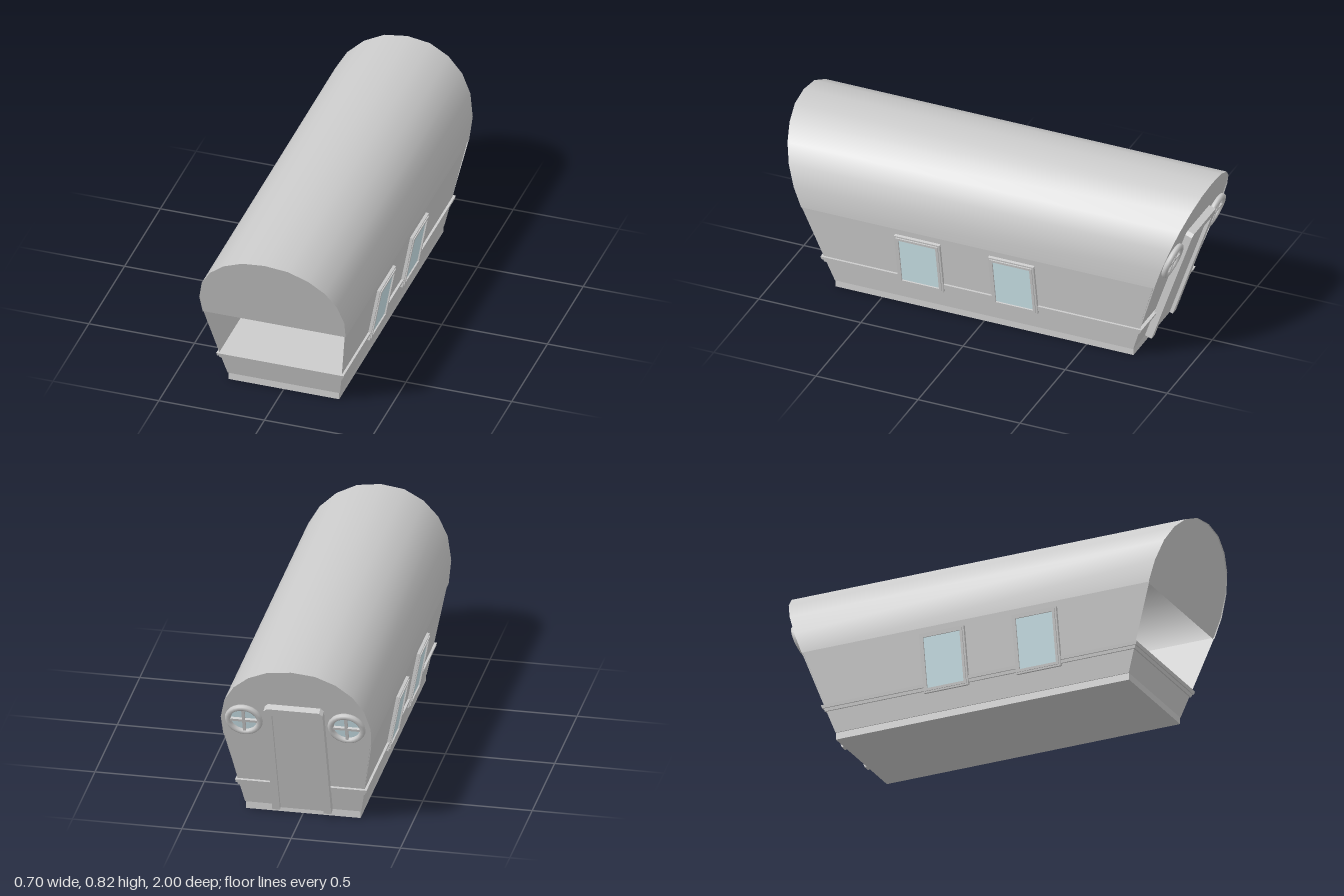
import * as THREE from 'three';

const grey = new THREE.MeshStandardMaterial({ color: 0xcccccc, side: THREE.DoubleSide });
const blue = new THREE.MeshStandardMaterial({ color: 0xcfe8ee, side: THREE.DoubleSide });

// Heights of the base top, band and eave; the ends and sides lean outward with height
const SILL = 0.033, BAND = 0.165, EAVE = 0.425;
const END_SLOPE = 0.342, SIDE_SLOPE = 0.184;
const endZ = (y) => 0.73 + (y - SILL) * END_SLOPE;
const sideX = (y) => 0.29 + (y - BAND) * SIDE_SLOPE;

// Right half of the roof arch, eave to ridge
const halfArch = [[0.338, EAVE], [0.343, 0.525], [0.32, 0.625], [0.272, 0.705], [0.2, 0.768], [0.108, 0.81], [0, 0.823]];
const arch = [...halfArch, ...halfArch.slice(0, -1).reverse().map(([x, y]) => [-x, y])];

function add(parent, name, geometry, material = grey) {
  const mesh = new THREE.Mesh(geometry, material);
  mesh.name = name;
  parent.add(mesh);
  return mesh;
}

// Sheet running the whole length, following a cross-section
function sheet(profile) {
  const geo = new THREE.PlaneGeometry(1, 1, profile.length - 1, 1);
  const pos = geo.attributes.position;
  const n = profile.length;
  for (let i = 0; i < pos.count; i++) {
    const [x, y] = profile[i % n];
    pos.setXYZ(i, x, y, i < n ? -endZ(y) : endZ(y));
  }
  geo.computeVertexNormals();
  return geo;
}

// Flat end panel leaning with the end of the body
function endPanel(points, side) {
  const geo = new THREE.ShapeGeometry(new THREE.Shape(points.map(([x, y]) => new THREE.Vector2(x, y))));
  const pos = geo.attributes.position;
  for (let i = 0; i < pos.count; i++) pos.setZ(i, side * (endZ(pos.getY(i)) - 0.006));
  if (side < 0) geo.index.array.reverse();
  geo.computeVertexNormals();
  return geo;
}

// Flared block between two heights, grown outward by "out"
function flared(y0, y1, out) {
  const geo = new THREE.BoxGeometry(2, 1, 2);
  const pos = geo.attributes.position;
  for (let i = 0; i < pos.count; i++) {
    const y = pos.getY(i) < 0 ? y0 : y1;
    pos.setXYZ(i, pos.getX(i) * (sideX(y) + out), y, pos.getZ(i) * (endZ(y) + out));
  }
  geo.computeVertexNormals();
  return geo;
}

// Group lying on a leaning wall: local y runs up the wall, local z points outward
function wallGroup(name, origin, up, normal) {
  const group = new THREE.Group();
  group.name = name;
  up.normalize();
  normal.normalize();
  const across = new THREE.Vector3().crossVectors(up, normal);
  group.applyMatrix4(new THREE.Matrix4().makeBasis(across, up, normal));
  group.position.copy(origin);
  return group;
}

function rectPath(w, h, Type) {
  return new Type([[-w, -h], [w, -h], [w, h], [-w, h]].map(([x, y]) => new THREE.Vector2(x / 2, y / 2)));
}

function frame(w, h, border, depth) {
  const shape = rectPath(w, h, THREE.Shape);
  shape.holes.push(rectPath(w - 2 * border, h - 2 * border, THREE.Path));
  return new THREE.ExtrudeGeometry(shape, { depth, bevelEnabled: false });
}

function sideWindow(side, z) {
  const y = 0.26;
  const g = wallGroup('sideWindow', new THREE.Vector3(side * sideX(y), y, z),
    new THREE.Vector3(side * SIDE_SLOPE, 1, 0), new THREE.Vector3(side, -SIDE_SLOPE, 0));
  add(g, 'windowFrame', frame(0.222, 0.276, 0.01, 0.014));
  add(g, 'windowInnerFrame', frame(0.206, 0.26, 0.012, 0.019));
  add(g, 'windowGlass', new THREE.BoxGeometry(0.19, 0.244, 0.012)).position.z = 0.006;
  g.children[2].material = blue;
  return g;
}

function roundWindow() {
  const g = new THREE.Group();
  g.name = 'roundWindow';
  add(g, 'roundFrame', new THREE.TorusGeometry(0.073, 0.014, 8, 24)).position.z = 0.01;
  add(g, 'roundGlass', new THREE.CircleGeometry(0.07, 24), blue).position.z = 0.006;
  add(g, 'crossbar', new THREE.BoxGeometry(0.14, 0.013, 0.018)).position.z = 0.01;
  add(g, 'upright', new THREE.BoxGeometry(0.013, 0.14, 0.018)).position.z = 0.01;
  return g;
}

function doorFrame() {
  const pts = [[-0.135, 0], [-0.1, 0], [-0.1, 0.585], [0.1, 0.585], [0.1, 0], [0.135, 0], [0.135, 0.61], [0.12, 0.625], [-0.12, 0.625], [-0.135, 0.61]];
  const shape = new THREE.Shape(pts.map(([x, y]) => new THREE.Vector2(x, y)));
  return new THREE.ExtrudeGeometry(shape, { depth: 0.034, bevelEnabled: false });
}

export function createModel() {
  const model = new THREE.Group();
  model.name = 'wagonBody';

  // Base, lower hull and trim bands
  add(model, 'base', new THREE.BoxGeometry(0.524, SILL, 1.46)).position.y = SILL / 2;
  add(model, 'lowerHull', flared(SILL, BAND - 0.005, 0));
  add(model, 'lowerBand', flared(0.136, 0.15, 0.006));
  add(model, 'upperBand', flared(0.15, BAND, 0.011));

  // Roof shell and side walls
  add(model, 'roof', sheet(arch));
  for (const side of [1, -1]) {
    const wall = [[side * (sideX(BAND) - 0.002), BAND - 0.01], [side * (sideX(EAVE) - 0.004), EAVE + 0.005]];
    add(model, side > 0 ? 'leftWall' : 'rightWall', sheet(wall));
    for (const z of [0.295, -0.165]) model.add(sideWindow(side, z));
  }

  // Front panel above the open front, and the full back wall
  add(model, 'frontPanel', endPanel(arch, 1));
  const w = sideX(BAND) - 0.002;
  add(model, 'backWall', endPanel([...arch, [-w, BAND - 0.01], [w, BAND - 0.01]], -1));

  // Door and round windows on the leaning back wall
  const back = wallGroup('backFittings', new THREE.Vector3(0, SILL, -endZ(SILL)),
    new THREE.Vector3(0, 1, -END_SLOPE), new THREE.Vector3(0, -END_SLOPE, -1));
  add(back, 'doorFrame', doorFrame());
  add(back, 'door', new THREE.BoxGeometry(0.2, 0.585, 0.018)).position.set(0, 0.2925, 0.009);
  for (const side of [1, -1]) {
    const win = roundWindow();
    win.position.set(side * 0.235, 0.525, 0);
    back.add(win);
  }
  model.add(back);
  return model;
}
